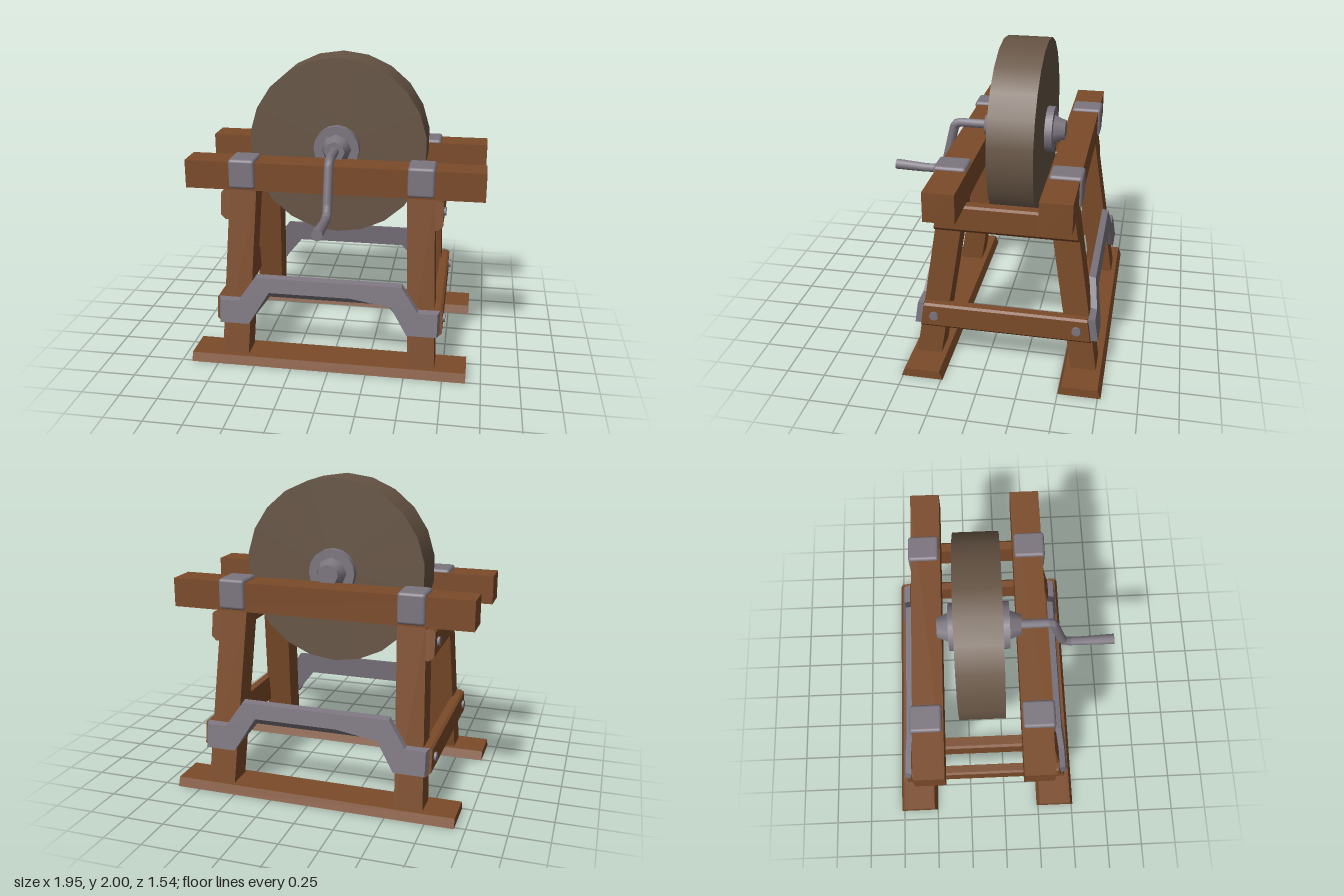
import * as THREE from 'three';
import { RoundedBoxGeometry } from 'three/addons/geometries/RoundedBoxGeometry.js';

export function createModel() {
  const wood = new THREE.MeshStandardMaterial({ color: 0x7b4b29 });
  const stone = new THREE.MeshStandardMaterial({ color: 0x675545 });
  const metal = new THREE.MeshStandardMaterial({ color: 0x7c757f });
  wood.name = 'wood';
  stone.name = 'stone';
  metal.name = 'metal';

  const model = new THREE.Group();
  model.name = 'grindstone';
  model.position.set(-0.015, 0, -0.13);
  const root = new THREE.Group();
  root.add(model);

  const add = (name, geometry, material, x = 0, y = 0, z = 0) => {
    const mesh = new THREE.Mesh(geometry, material);
    mesh.name = name;
    mesh.position.set(x, y, z);
    model.add(mesh);
    return mesh;
  };
  // Move every vertex by a rule, then rebuild the normals
  const bend = (geometry, rule) => {
    const p = geometry.attributes.position;
    const v = new THREE.Vector3();
    for (let i = 0; i < p.count; i++) {
      v.fromBufferAttribute(p, i);
      rule(v);
      p.setXYZ(i, v.x, v.y, v.z);
    }
    geometry.computeVertexNormals();
    return geometry;
  };
  const shapeOf = (pts) => new THREE.Shape(pts.map(([x, y]) => new THREE.Vector2(x, y)));
  const LEAN = 0.154; // inward lean of the legs per unit of height

  // Wheel, flanges and hubs, all along z
  const AXLE = 1.406;
  const disc = (name, rBack, rFront, depth, sides, mat, z) => {
    const g = new THREE.CylinderGeometry(rFront, rBack, depth, sides).rotateX(Math.PI / 2);
    return add(name, g, mat, 0, AXLE, z);
  };
  const wheel = disc('grindingWheel', 0.594, 0.594, 0.288, 22, stone, 0);
  wheel.geometry.rotateZ(Math.PI); // a corner points straight up
  disc('hubFlange', 0.152, 0.152, 0.386, 16, metal, 0);
  disc('frontHub', 0.1, 0.068, 0.075, 8, metal, 0.23);
  disc('backHub', 0.068, 0.1, 0.075, 8, metal, -0.23);

  // Crank rod and its handle grip
  const rod = new THREE.CurvePath();
  const bendPoints = [[1.41, 0.24], [1.41, 0.44], [1.40, 0.47], [1.37, 0.483], [1.13, 0.54],
    [1.08, 0.56], [1.06, 0.6], [1.06, 0.7]].map(([y, z]) => new THREE.Vector3(0, y, z));
  for (let i = 1; i < bendPoints.length; i++) {
    rod.add(new THREE.LineCurve3(bendPoints[i - 1], bendPoints[i]));
  }
  add('crankRod', new THREE.TubeGeometry(rod, 40, 0.031, 8), metal);
  const grip = add('crankHandle', new THREE.CylinderGeometry(0.037, 0.031, 0.22, 8).rotateX(Math.PI / 2),
    metal, 0, 1.064, 0.79);
  grip.rotation.x = -0.05;

  for (const s of [1, -1]) {
    const end = s > 0 ? 'front' : 'back';

    // Foot board, narrower on top
    const foot = bend(new THREE.BoxGeometry(1.834, 0.058, 0.27), (v) => {
      if (v.y > 0) v.z *= 0.84;
    });
    add(end + 'Foot', foot, wood, 0, 0.029, s * 0.505);

    // Top beam
    add(end + 'Beam', new THREE.BoxGeometry(1.945, 0.187, 0.193), wood, 0.0125, 1.264, s * 0.338);

    for (const t of [1, -1]) {
      const side = t > 0 ? 'Left' : 'Right';
      // Leg, leaning inwards on both axes
      const leg = bend(new THREE.BoxGeometry(0.178, 1.14, 0.162), (v) => {
        v.x -= t * 0.04 * v.y;
        v.z -= s * LEAN * v.y;
      });
      add(end + side + 'Leg', leg, wood, t * 0.601, 0.62, s * 0.421);
      // Strap over the beam
      add(end + side + 'Strap', new RoundedBoxGeometry(0.174, 0.196, 0.202, 2, 0.02), metal,
        t * 0.58, 1.28, s * 0.351);
    }

    // Arched iron brace, following the lean of the legs
    const top = [[0.735, 0.45], [0.592, 0.45], [0.482, 0.613]];
    const low = [[0.392, 0.465], [0.525, 0.297], [0.735, 0.297]];
    const outline = [...top, ...top.map(([x, y]) => [-x, y]).reverse(),
      ...low.map(([x, y]) => [-x, y]).reverse(), ...low];
    // Left half of the lower edge runs inwards, right half outwards
    const brace = new THREE.ExtrudeGeometry(shapeOf(outline), { depth: 0.042, bevelEnabled: false });
    const lowKeys = low.map(([x, y]) => `${x.toFixed(2)},${y.toFixed(2)}`);
    bend(brace, (v) => {
      if (v.z > 0.02) {
        const key = `${Math.abs(v.x).toFixed(2)},${v.y.toFixed(2)}`;
        v.y += lowKeys.includes(key) ? 0.042 : -0.01;
        if (Math.abs(v.x) > 0.7) v.x *= 0.98;
      }
      v.z += 0.595 - LEAN * v.y;
    });
    const braceMesh = add(end + 'Brace', brace, metal);
    if (s < 0) braceMesh.rotation.y = Math.PI;
  }

  // Side rails with bevelled outer edges, and their bolts
  const rails = [
    { name: 'upper', y: 0.97, h: 0.185, x: 0.655, w: 0.072, half: 0.448, bolt: 0.348 },
    { name: 'lower', y: 0.27, h: 0.18, x: 0.685, w: 0.066, half: 0.55, bolt: 0.457 },
  ];
  for (const r of rails) {
    for (const t of [1, -1]) {
      const side = t > 0 ? 'Left' : 'Right';
      const profile = shapeOf([[0, 0], [r.w - 0.03, 0], [r.w, 0.028], [r.w, r.h - 0.012],
        [r.w - 0.015, r.h], [0, r.h]]);
      const g = new THREE.ExtrudeGeometry(profile, { depth: 2 * r.half, bevelEnabled: false });
      bend(g, (v) => {
        v.z = Math.sign(v.z - r.half) * (r.half - LEAN * v.y);
        v.x += r.x;
        v.y += r.y;
      });
      const rail = add(r.name + side + 'Rail', g, wood);
      if (t < 0) rail.rotation.y = Math.PI;
      for (const s of [1, -1]) {
        const bolt = new THREE.CylinderGeometry(0.03, 0.03, 0.05, 8).rotateZ(Math.PI / 2);
        add(r.name + side + 'Bolt', bolt, metal, t * (r.x + r.w - 0.01), r.y + 0.1, s * r.bolt);
      }
    }
  }
  return root;
}
